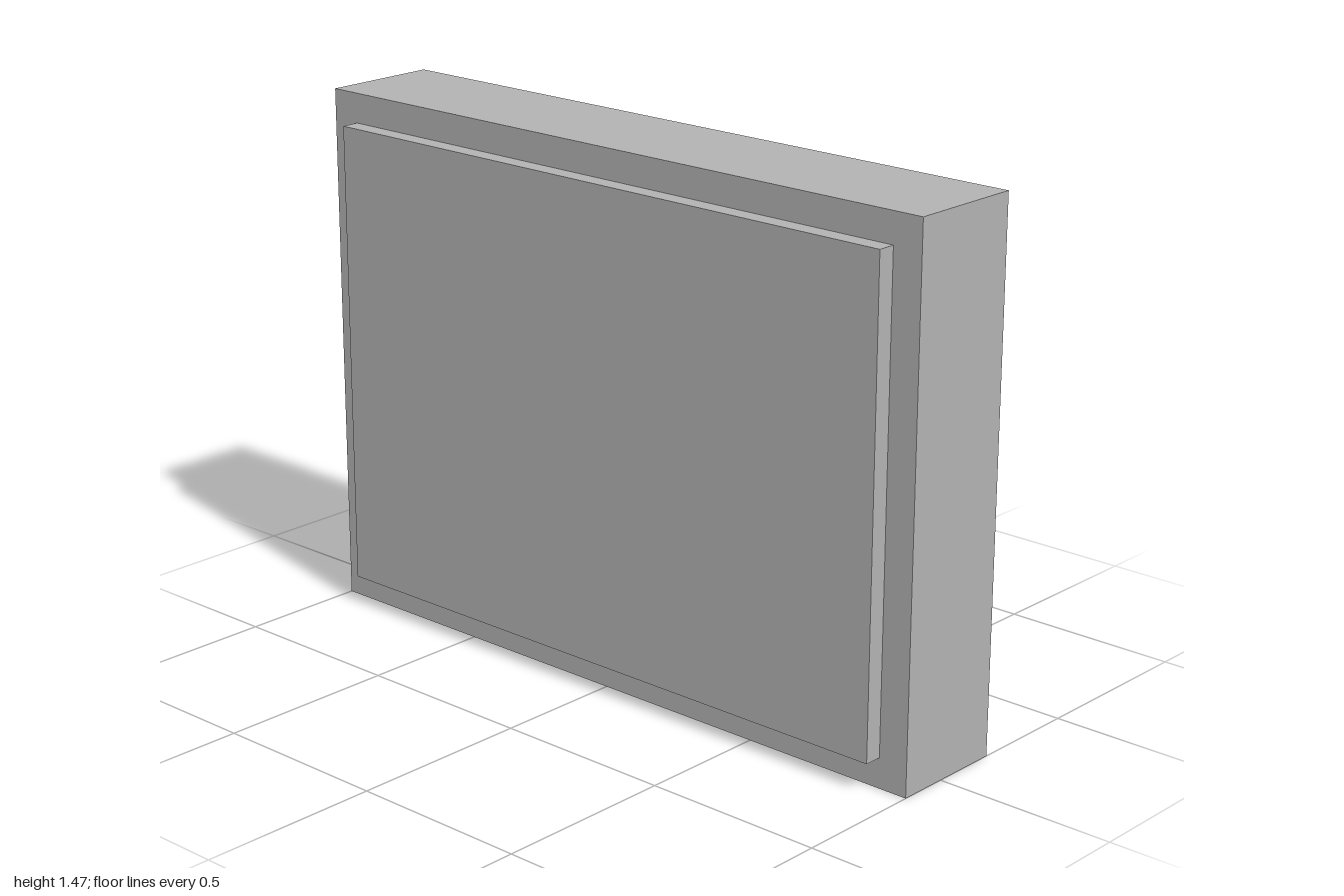
import * as THREE from 'three';

const CENTER_Y = 0.7325;

// Rectangle traced around the middle of the model
function trace(path, halfW, halfH) {
  path.moveTo(-halfW, CENTER_Y - halfH);
  path.lineTo(halfW, CENTER_Y - halfH);
  path.lineTo(halfW, CENTER_Y + halfH);
  path.lineTo(-halfW, CENTER_Y + halfH);
  path.closePath();
  return path;
}

// Rectangular ring running from z0 to z1
function ring(name, outer, inner, z0, z1, material) {
  const shape = trace(new THREE.Shape(), ...outer);
  shape.holes.push(trace(new THREE.Path(), ...inner));
  const geometry = new THREE.ExtrudeGeometry(shape, { depth: z1 - z0, bevelEnabled: false });
  geometry.translate(0, 0, z0);
  const mesh = new THREE.Mesh(geometry, material);
  mesh.name = name;
  return mesh;
}

export function createModel() {
  const grey = new THREE.MeshStandardMaterial({ color: 0xb2b2b2 });
  grey.name = 'grey';

  const outer = [1, CENTER_Y];
  const recess = [0.935, 0.6675];
  const panel = [0.916, 0.65];
  const opening = [0.87, 0.6025];

  const model = new THREE.Group();
  model.name = 'panelCasing';

  // Deep side walls, open at the back
  model.add(ring('sideWalls', outer, recess, -0.19, 0.06, grey));
  // Front rim, which forms the ledge inside
  model.add(ring('frontRim', outer, opening, 0.06, 0.14, grey));
  // Edge of the raised panel
  model.add(ring('panelEdge', panel, opening, 0.14, 0.19, grey));

  // Raised front panel, set into the opening
  const plate = new THREE.Mesh(
    new THREE.BoxGeometry(opening[0] * 2, opening[1] * 2, 0.093), grey);
  plate.position.set(0, CENTER_Y, 0.1435);
  plate.name = 'frontPanel';
  model.add(plate);

  return model;
}
